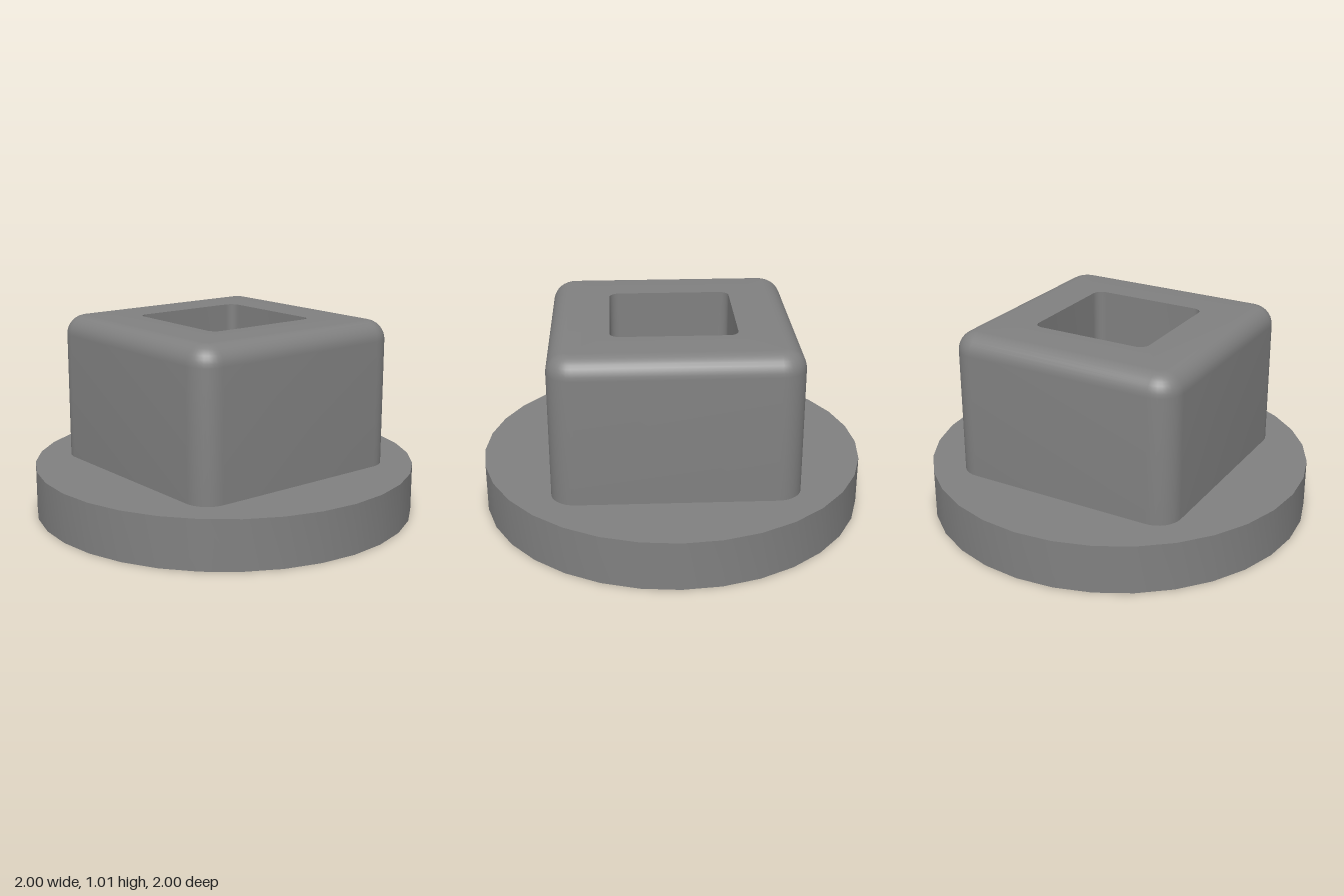
import * as THREE from 'three';
import { toCreasedNormals } from 'three/addons/utils/BufferGeometryUtils.js';

const CORNER_STEPS = 8;

// Rounded square outline at height y; radius equal to half gives a 32-sided circle
function outline(half, radius, y) {
  const points = [];
  for (let c = 0; c < 4; c++) {
    const mid = (c + 0.5) * Math.PI / 2;
    const cx = Math.sign(Math.cos(mid)) * (half - radius);
    const cz = Math.sign(Math.sin(mid)) * (half - radius);
    for (let s = 0; s <= CORNER_STEPS; s++) {
      const a = (c + s / CORNER_STEPS) * Math.PI / 2;
      points.push(new THREE.Vector3(cx + radius * Math.cos(a), y, cz + radius * Math.sin(a)));
    }
  }
  return points;
}

// Skin a sequence of outlines, skipping collapsed triangles
function loft(rings) {
  const positions = [];
  const addTriangle = (a, b, c) => {
    if (new THREE.Triangle(a, b, c).getArea() < 1e-8) return;
    for (const p of [a, b, c]) positions.push(p.x, p.y, p.z);
  };
  for (let i = 0; i < rings.length - 1; i++) {
    const upper = rings[i], lower = rings[i + 1], n = upper.length;
    for (let j = 0; j < n; j++) {
      const k = (j + 1) % n;
      addTriangle(upper[j], upper[k], lower[j]);
      addTriangle(upper[k], lower[k], lower[j]);
    }
  }
  const geometry = new THREE.BufferGeometry();
  geometry.setAttribute('position', new THREE.Float32BufferAttribute(positions, 3));
  return toCreasedNormals(geometry, 0.6);
}

export function createModel() {
  const model = new THREE.Group();
  model.name = 'flangedSquareBushing';
  const grey = new THREE.MeshStandardMaterial({ color: 0x808080 });
  grey.name = 'grey';

  const flangeTop = 0.255, top = 1.015;
  const half = 0.625, corner = 0.125, fillet = 0.1;
  const hole = 0.318, holeCorner = 0.05;

  // Round flange: top face, rim and underside around the square bore
  const flange = new THREE.Mesh(loft([
    outline(half, corner, flangeTop),
    outline(1, 1, flangeTop),
    outline(1, 1, 0),
    outline(hole, holeCorner, 0),
  ]), grey);
  flange.name = 'flange';

  // Square boss: bore wall, top face, rounded top edge, outer wall
  const rings = [outline(hole, holeCorner, 0), outline(hole, holeCorner, top)];
  for (let i = 0; i <= 8; i++) {
    const a = (i / 8) * Math.PI / 2;
    const inset = fillet * (1 - Math.sin(a));
    rings.push(outline(half - inset, corner - inset, top - fillet * (1 - Math.cos(a))));
  }
  rings.push(outline(half, corner, flangeTop));
  const boss = new THREE.Mesh(loft(rings), grey);
  boss.name = 'squareBoss';

  model.add(flange, boss);
  return model;
}
